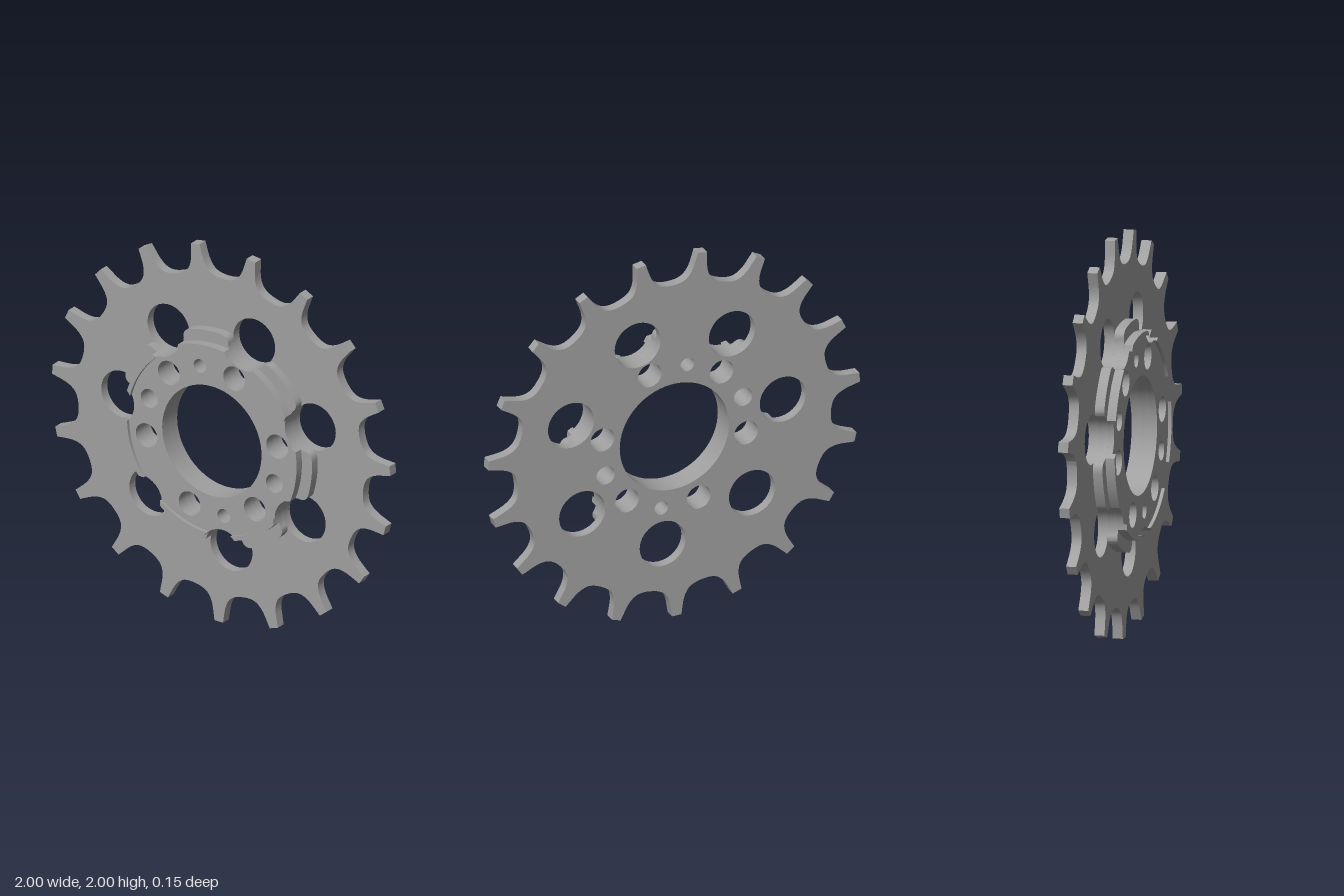
import * as THREE from 'three';
import { toCreasedNormals } from 'three/addons/utils/BufferGeometryUtils.js';

const DEG = Math.PI / 180;
const TEETH = 19, LOBES = 7, SECTOR = 360 / LOBES;
const HOLE_R = 0.124, HOLE_DIST = 0.588, HOLE_START = 70.4;
const polar = (r, deg) => new THREE.Vector2(r * Math.cos(deg * DEG), r * Math.sin(deg * DEG));

function arc(r, from, to, n) {
  return Array.from({ length: n + 1 }, (_, i) => polar(r, from + (to - from) * i / n));
}

function circle(r, dist = 0, deg = 0, n = 40) {
  const c = polar(dist, deg);
  return new THREE.Path(arc(r, 0, 360 - 360 / n, n - 1).map(p => p.add(c)));
}

// Toothed outline: one spline valley per gap, flat tips between them
function toothOutline() {
  const half = [[0.14, 0.993], [0.128, 0.955], [0.114, 0.915], [0.095, 0.882], [0.07, 0.859], [0.038, 0.848]];
  const valley = [...half.map(([u, v]) => [-u, v]), [0, 0.845], ...half.slice().reverse()];
  // u runs counter-clockwise around the centre, v outward
  const curve = new THREE.SplineCurve(valley.map(([u, v]) => new THREE.Vector2(v, u)));
  const pts = [];
  for (let k = 0; k < TEETH; k++) {
    const a = (-90.75 + (k + 0.5) * 360 / TEETH) * DEG;
    for (const p of curve.getPoints(36)) pts.push(p.rotateAround(new THREE.Vector2(), a));
  }
  return pts;
}

// Bite taken by a large hole out of a disc of radius R
function bite(R) {
  const c = (R * R - HOLE_DIST ** 2 - HOLE_R ** 2) / (2 * HOLE_DIST * HOLE_R);
  const t = Math.acos(c) / DEG;
  const p = polar(HOLE_R, t);
  return { t, angle: Math.atan2(p.y, HOLE_DIST + p.x) / DEG };
}

// Disc bitten by the seven large holes; lobeR adds raised round-cornered lobes
function bittenOutline(R, lobeR) {
  const pts = [], { t, angle } = bite(R);
  for (let k = 0; k < LOBES; k++) {
    const a = HOLE_START + k * SECTOR, c = polar(HOLE_DIST, a);
    pts.push(...arc(HOLE_R, a + 360 - t, a + t, 14).map(p => p.add(c)));
    const s = a + angle, e = a + SECTOR - angle;
    if (lobeR) {
      pts.push(...new THREE.QuadraticBezierCurve(polar(R, s), polar(lobeR, s + 0.6), polar(lobeR, s + 5.2)).getPoints(8).slice(1));
      pts.push(...arc(lobeR, s + 5.2, e - 5.2, 12).slice(1));
      pts.push(...new THREE.QuadraticBezierCurve(polar(lobeR, e - 5.2), polar(lobeR, e - 0.6), polar(R, e)).getPoints(8).slice(1, -1));
    } else pts.push(...arc(R, s, e, 16).slice(1, -1));
  }
  return pts;
}

// Central bore and ring of bolt holes shared by every layer
function hubHoles() {
  const holes = [circle(0.294, 0, 0, 72)];
  for (let k = 0; k < 6; k++) holes.push(circle(0.064, 0.393, 10.4 + k * 60, 32));
  for (const a of [100.4, 280.4]) holes.push(circle(0.037, 0.391, a, 28));
  for (const a of [160.4, 340.4]) holes.push(circle(0.05, 0.393, a, 28));
  return holes;
}

export function createModel() {
  const steel = new THREE.MeshStandardMaterial({ color: 0xa0a0a0 });
  steel.name = 'steel grey';
  const model = new THREE.Group();
  model.name = 'sprocket';

  function layer(name, points, holes, z0, z1) {
    const shape = new THREE.Shape(points);
    shape.holes = holes;
    const geo = new THREE.ExtrudeGeometry(shape, { depth: z1 - z0, bevelEnabled: false });
    const mesh = new THREE.Mesh(toCreasedNormals(geo, 0.5), steel);
    mesh.name = name;
    mesh.position.set(0, 1.005, z0);
    model.add(mesh);
  }

  // Toothed plate with seven large holes
  const bigHoles = Array.from({ length: LOBES }, (_, k) => circle(HOLE_R, HOLE_DIST, HOLE_START + k * SECTOR, 48));
  layer('toothedPlate', toothOutline(), [...hubHoles(), ...bigHoles], -0.073, -0.022);

  // Lobed step and hub disc in front of it
  layer('lobedStep', bittenOutline(0.53, 0.573), hubHoles(), -0.022, 0.027);
  layer('hubDisc', bittenOutline(0.513), hubHoles(), 0.027, 0.056);

  // Thin raised rim, broken by the large holes
  const outer = bite(0.513).angle, inner = bite(0.49).angle;
  for (let k = 0; k < LOBES; k++) {
    const a = HOLE_START + k * SECTOR, b = a + SECTOR;
    layer('hubRim' + (k + 1), [...arc(0.513, a + outer, b - outer, 16), ...arc(0.49, b - inner, a + inner, 16)], [], 0.056, 0.073);
  }
  return model;
}
